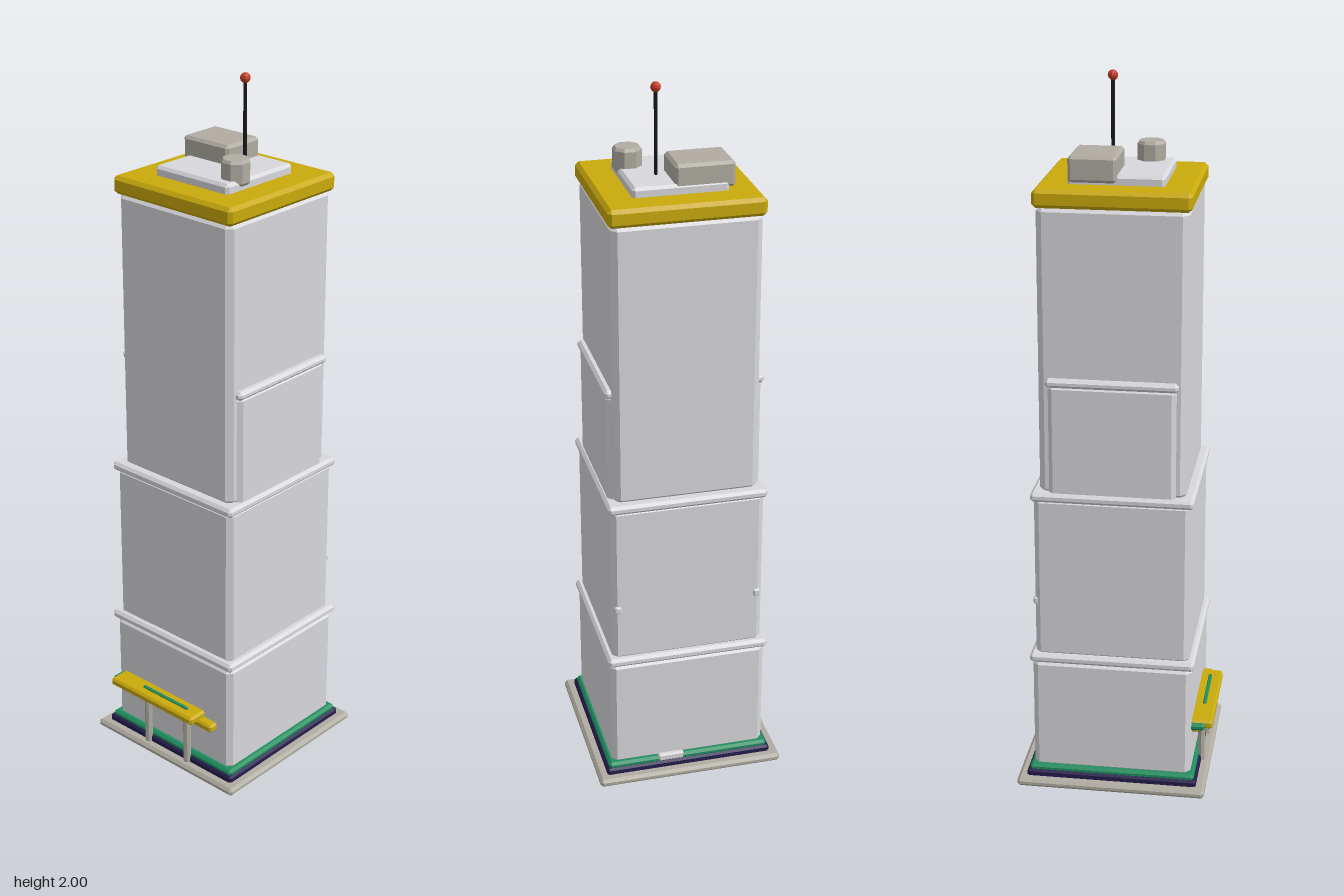
import * as THREE from 'three';
import { ConvexGeometry } from 'three/addons/geometries/ConvexGeometry.js';

const paint = (name, color) => {
  const m = new THREE.MeshStandardMaterial({ color, flatShading: true });
  m.name = name;
  return m;
};

// Box with every edge cut by a flat chamfer c
function chamferBox(w, h, d, c) {
  const pts = [];
  for (const x of [-1, 1]) for (const y of [-1, 1]) for (const z of [-1, 1]) {
    for (let axis = 0; axis < 3; axis++) {
      const inset = [0, 1, 2].map((i) => (i === axis ? 0 : c));
      pts.push(new THREE.Vector3(
        x * (w / 2 - inset[0]), y * (h / 2 - inset[1]), z * (d / 2 - inset[2])));
    }
  }
  return new ConvexGeometry(pts);
}

export function createModel() {
  const model = new THREE.Group();
  model.name = 'tower';
  const wall = paint('paleWall', 0xd8d8dc);
  const yellow = paint('yellow', 0xcaaa0c);
  const stone = paint('warmGrey', 0xb0aca2);
  const green = paint('green', 0x1f8f60);
  const navy = paint('navy', 0x241c4c);
  const red = paint('red', 0xc43a26);
  const black = paint('black', 0x18181a);
  const CZ = -0.009; // tower axis in z

  const add = (name, geometry, material, x, y, z) => {
    const mesh = new THREE.Mesh(geometry, material);
    mesh.name = name;
    mesh.position.set(x, y, z);
    model.add(mesh);
    return mesh;
  };
  // Chamfered block given by its extents
  const block = (name, mat, [x0, x1], [y0, y1], [z0, z1], c) =>
    add(name, chamferBox(x1 - x0, y1 - y0, z1 - z0, c), mat,
      (x0 + x1) / 2, (y0 + y1) / 2, (z0 + z1) / 2);
  // Square storey centred on the tower axis
  const storey = (name, mat, half, y0, y1, c) =>
    block(name, mat, [-half, half], [y0, y1], [CZ - half, CZ + half], c);

  // Ground slab and plinth
  storey('groundSlab', stone, 0.269, 0, 0.024, 0.008);
  storey('plinthBase', navy, 0.243, 0.018, 0.042, 0.006);
  storey('plinthBand', green, 0.236, 0.034, 0.056, 0.007);

  // Stepped shaft with ledges
  storey('lowerShaft', wall, 0.225, 0.045, 0.385, 0.015);
  storey('lowerLedge', wall, 0.232, 0.38, 0.406, 0.008);
  storey('middleShaft', wall, 0.217, 0.395, 0.875, 0.015);
  storey('middleLedge', wall, 0.225, 0.864, 0.89, 0.008);
  storey('upperShaft', wall, 0.202, 0.88, 1.685, 0.017);

  // Side bays, back corner studs
  for (const s of [-1, 1]) {
    const span = (a, b) => (s > 0 ? [a, b] : [-b, -a]);
    block('sideBay', wall, span(0.17, 0.214), [0.875, 1.2], [-0.183, 0.165], 0.012);
    block('sideBayLedge', wall, span(0.165, 0.22), [1.193, 1.217], [-0.189, 0.171], 0.008);
    block('cornerStud', wall, span(0.19, 0.21), [0.55, 0.572], [-0.231, -0.215], 0.004);
  }
  block('backStep', wall, [0.015, 0.09], [0.04, 0.062], [-0.247, -0.22], 0.004);

  // Crown and roof equipment
  storey('crown', yellow, 0.21, 1.678, 1.728, 0.01);
  block('roofDeck', wall, [-0.13, 0.128], [1.72, 1.754], [-0.137, 0.121], 0.008);
  block('roofPlantBox', stone, [-0.147, 0.014], [1.735, 1.805], [-0.134, -0.005], 0.008);
  const tank = [[0, 0], [0.034, 0], [0.04, 0.008], [0.04, 0.06], [0.034, 0.068], [0, 0.068]];
  add('roofTank', new THREE.LatheGeometry(tank.map((p) => new THREE.Vector2(...p)), 8),
    stone, 0.097, 1.738, 0.056).rotation.y = Math.PI / 8;
  add('antenna', new THREE.CylinderGeometry(0.005, 0.005, 0.24, 6), black, 0.043, 1.867, -0.041);
  add('antennaLight', new THREE.SphereGeometry(0.014, 8, 6), red, 0.043, 1.986, -0.041);

  // Entrance canopy on two posts
  block('canopyTop', yellow, [-0.194, 0.128], [0.186, 0.21], [0.205, 0.275], 0.006);
  block('canopyLower', yellow, [-0.182, 0.175], [0.166, 0.19], [0.2, 0.243], 0.006);
  block('canopyEnd', green, [-0.206, -0.12], [0.184, 0.204], [0.2, 0.254], 0.006);
  block('canopyStripe', green, [-0.089, 0.087], [0.206, 0.215], [0.237, 0.247], 0.002);
  for (const x of [-0.08, 0.075])
    add('canopyPost', new THREE.CylinderGeometry(0.011, 0.011, 0.15, 8), stone, x, 0.097, 0.234);

  return model;
}
